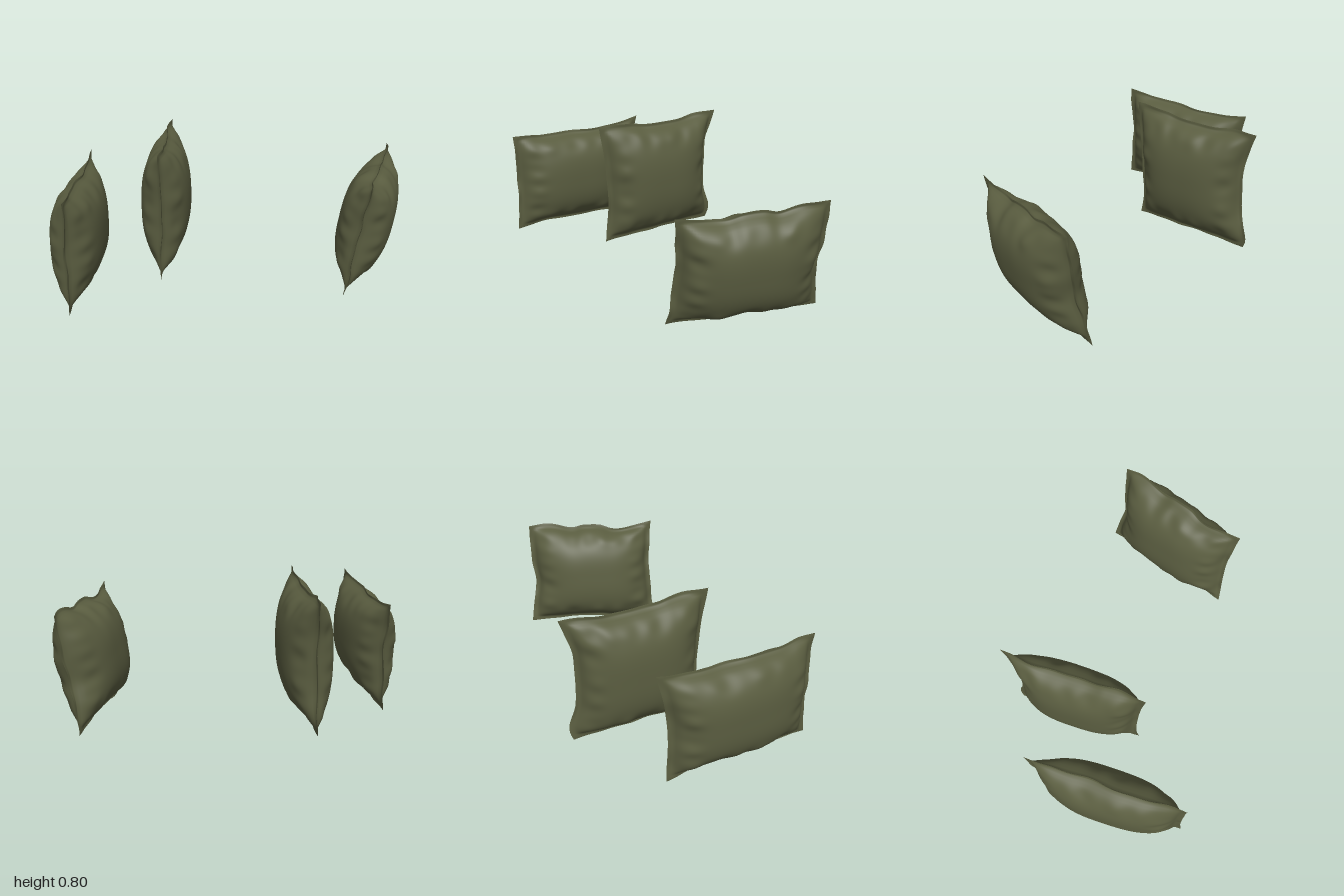
import * as THREE from 'three';

const N = 64;          // grid cells across a pillow
const SEAM = 0.92;     // share of the cloth that is stuffed, the rest is flat hem

// Edge points are [z, y]; neighbouring edges share their corners.
const PILLOWS = [
  {
    name: 'rightPillow', x: -0.858, lean: 0.025, turn: 0.0, thick: 0.143, seed: 1.3,
    top: [[0.6, 0.675], [0.5, 0.67], [0.4, 0.655], [0.2, 0.65], [0, 0.64], [-0.18, 0.65], [-0.3, 0.67]],
    bottom: [[0.61, 0.035], [0.4, 0.045], [0.2, 0.03], [0, 0.025], [-0.24, 0.0]],
    front: [[0.61, 0.035], [0.595, 0.2], [0.59, 0.4], [0.6, 0.675]],
    back: [[-0.24, 0.0], [-0.235, 0.2], [-0.24, 0.4], [-0.3, 0.67]],
  },
  {
    name: 'middlePillow', x: -0.393, lean: 0.02, turn: -0.02, thick: 0.145, seed: 4.1,
    top: [[0.225, 0.795], [0.1, 0.795], [0, 0.785], [-0.1, 0.768], [-0.33, 0.763], [-0.48, 0.782], [-0.608, 0.782]],
    bottom: [[0.2, 0.022], [0, 0.03], [-0.2, 0.03], [-0.4, 0.027], [-0.57, 0.02]],
    front: [[0.2, 0.022], [0.18, 0.2], [0.185, 0.4], [0.2, 0.6], [0.225, 0.795]],
    back: [[-0.57, 0.02], [-0.587, 0.1], [-0.548, 0.25], [-0.54, 0.42], [-0.545, 0.57], [-0.575, 0.68], [-0.608, 0.782]],
  },
  {
    name: 'leftPillow', x: 0.818, lean: 0.175, turn: -0.325, thick: 0.146, seed: 7.7,
    top: [[0.43, 0.685], [0.3, 0.66], [0.18, 0.65], [0.1, 0.675], [0, 0.68], [-0.08, 0.665], [-0.2, 0.695], [-0.345, 0.69]],
    bottom: [[0.41, 0.035], [0.3, 0.04], [0.15, 0.025], [0, 0.04], [-0.4, 0.03]],
    front: [[0.41, 0.035], [0.4, 0.2], [0.395, 0.4], [0.41, 0.55], [0.43, 0.685]],
    back: [[-0.4, 0.03], [-0.37, 0.18], [-0.34, 0.31], [-0.35, 0.45], [-0.345, 0.69]],
  },
];

const edge = (pts) => new THREE.SplineCurve(pts.map(([z, y]) => new THREE.Vector2(z, y)));
const mix = THREE.MathUtils.lerp;

// smooth irregular ripple, roughly -1..1
const ripple = (a, k) => 0.5 * Math.sin(13 * a + k) + 0.3 * Math.sin(25 * a + 2.3 * k) + 0.2 * Math.sin(43 * a + 3.7 * k);

// fullness from the middle (1) to the seam (0)
const fullness = (a) => Math.pow(Math.max(0, 1 - Math.pow(Math.min(1, a / SEAM), 2.7)), 0.6);

// gathers are strongest just inside the seam
const gather = (a) => Math.exp(-Math.pow((a - 0.8) / 0.14, 2));

// One face of a pillow: cloth stretched between four edges and puffed out sideways.
function pillowFace(p, side) {
  const T = edge(p.top), B = edge(p.bottom), F = edge(p.front), K = edge(p.back);
  const [c00, c10, c01, c11] = [B.getPoint(0), B.getPoint(1), T.getPoint(0), T.getPoint(1)];
  const pos = [], idx = [];
  for (let j = 0; j <= N; j++) {
    const t = j / N, f = F.getPointAt(t), k = K.getPointAt(t);
    for (let i = 0; i <= N; i++) {
      const s = i / N, b = B.getPointAt(s), q = T.getPointAt(s);
      // flat quad between the corners, plus each edge's waviness fading quickly inward
      const blend = (c) => mix(mix(c00[c], c10[c], s), mix(c01[c], c11[c], s), t)
        + (1 - t) ** 3 * (b[c] - mix(c00[c], c10[c], s)) + t ** 3 * (q[c] - mix(c01[c], c11[c], s))
        + (1 - s) ** 3 * (f[c] - mix(c00[c], c01[c], t)) + s ** 3 * (k[c] - mix(c10[c], c11[c], t));
      const z = blend('x'), y = blend('y');
      const u = Math.abs(2 * s - 1), v = Math.abs(2 * t - 1), out = Math.max(u, v);
      const key = p.seed + side;
      // puckers run inward from every seam, and soft dents cross the belly
      const pucker = gather(u) * ripple(t, key + (s > 0.5 ? 5 : 0)) + gather(v) * ripple(s, key + (t > 0.5 ? 9 : 2));
      const dent = Math.sin(6 * s + 4 * t + key) * Math.sin(5 * t - 3 * s + key);
      const hem = out < 1 ? 0.002 : 0;
      const h = side * (hem + p.thick * fullness(u) * fullness(v) * (1 + 0.17 * pucker + 0.02 * dent));
      // the hem wavers from side to side
      const sway = 0.008 * out ** 6 * (ripple(0.6 * (s + t), p.seed) + ripple(0.6 * (s - t), p.seed + 2));
      pos.push(p.x + p.turn * z + p.lean * (y - 0.35) + h + sway, y - p.lean * h, z - p.turn * h);
      if (i < N && j < N) {
        const a = j * (N + 1) + i, d = a + N + 1;
        if (side > 0) idx.push(a, a + 1, d + 1, a, d + 1, d);
        else idx.push(a, d + 1, a + 1, a, d, d + 1);
      }
    }
  }
  const geo = new THREE.BufferGeometry();
  geo.setAttribute('position', new THREE.Float32BufferAttribute(pos, 3));
  geo.setIndex(idx);
  geo.computeVertexNormals();
  return geo;
}

export function createModel() {
  const model = new THREE.Group();
  model.name = 'pillows';
  const cloth = new THREE.MeshStandardMaterial({ color: 0x5a5d40, side: THREE.DoubleSide });
  cloth.name = 'olive cloth';
  for (const p of PILLOWS) {
    const pillow = new THREE.Group();
    pillow.name = p.name;
    for (const side of [1, -1]) {
      const face = new THREE.Mesh(pillowFace(p, side), cloth);
      face.name = side > 0 ? 'leftFace' : 'rightFace';
      pillow.add(face);
    }
    model.add(pillow);
  }
  return model;
}
